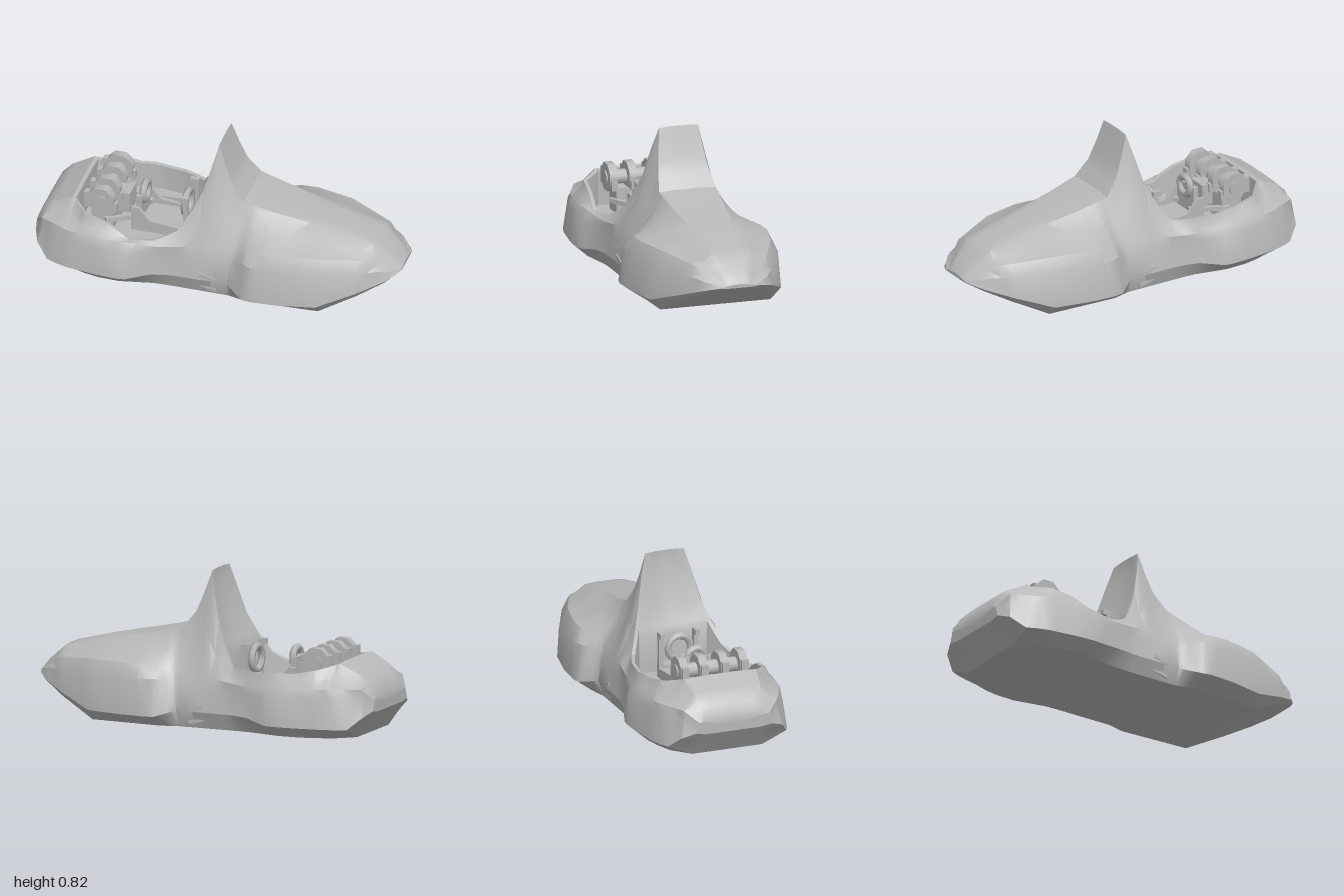
import * as THREE from 'three';
import { toCreasedNormals } from 'three/addons/utils/BufferGeometryUtils.js';

// piecewise linear curve through [x, value] pairs
function curve(...keys) {
  return x => {
    if (x <= keys[0][0]) return keys[0][1];
    for (let i = 1; i < keys.length; i++) {
      const [x0, v0] = keys[i - 1], [x1, v1] = keys[i];
      if (x <= x1) return v0 + (v1 - v0) * (x - x0) / (x1 - x0);
    }
    return keys[keys.length - 1][1];
  };
}

// flat bottom
const baseY = curve([-1, .14], [-.9, 0], [.6, 0], [1, .2]);
const baseZ = curve([-1, .16], [-.9, .2], [-.8, .29], [-.65, .34], [-.5, .345], [-.3, .305], [.1, .305], [.2, .33], [.6, .31], [.8, .25], [.93, .18], [1, .09]);
// widest line, low on the side
const lowY = curve([-1, .15], [-.9, .06], [-.45, .06], [-.3, .09], [.1, .09], [.2, .06], [.6, .06], [.8, .13], [1, .205]);
const lowZ = curve([-1, .22], [-.97, .29], [-.88, .355], [-.78, .385], [-.6, .41], [-.47, .415], [-.32, .36], [-.2, .34], [.1, .335], [.12, .35], [.2, .41], [.25, .42], [.4, .41], [.6, .37], [.8, .28], [.93, .2], [.98, .14], [1, .1]);
// upper side line
const highY = curve([-1, .2], [-.9, .23], [-.5, .22], [-.3, .2], [.1, .2], [.2, .26], [.6, .26], [.9, .24], [1, .21]);
// shoulder above the fenders
const shoulderY = curve([-1, .21], [-.95, .27], [-.5, .27], [-.3, .25], [.1, .29], [.2, .31], [.32, .33], [.6, .33], [.85, .3], [1, .212]);
const shoulderZ = curve([-1, .2], [-.95, .27], [-.78, .35], [-.6, .37], [-.5, .365], [-.3, .335], [0, .29], [.15, .285], [.2, .32], [.3, .355], [.4, .355], [.6, .31], [.85, .2], [1, .07]);
// cockpit rim, rising into the cowl, then the bonnet edge
const rimY = curve([-1, .215], [-.97, .28], [-.92, .33], [-.8, .39], [-.72, .365], [-.57, .335], [-.5, .3], [-.45, .265], [-.3, .275], [-.2, .33], [-.14, .42], [-.08, .55], [-.04, .7], [-.01, .82], [.03, .7], [.07, .6], [.14, .51], [.3, .47], [.65, .4], [.85, .35], [.96, .26], [1, .215]);
const rimZ = curve([-1, .17], [-.9, .19], [-.78, .21], [-.7, .3], [-.45, .33], [-.3, .31], [-.2, .265], [-.1, .195], [-.04, .145], [-.01, .11], [.07, .14], [.14, .16], [.65, .11], [.85, .11], [1, .06]);
// the right rim stays higher beside the seat
const rightLift = curve([-.57, 0], [-.45, .065], [-.3, .055], [-.2, 0]);

const FLOOR = .19, BACK = -.78, DASH = -.13, COWL = -.01;

// half section as [z, y], from the keel up and over to the centre line
function section(x, type, side) {
  const rz = rimZ(x), ry = rimY(x) + (side < 0 ? rightLift(x) : 0);
  const sz = shoulderZ(x), sy = shoulderY(x);
  const floorZ = Math.max(rz - .03, .19);
  const top = {
    closed: [[rz * .7, ry + .003], [rz * .4, ry + .005], [0, ry + .005]],
    open: [[rz - .02, ry - .003], [floorZ, FLOOR], [0, FLOOR]],
    screen: [[rz - .02, ry - .003], [rz * .6, ry - .04], [0, ry - .05]],
  }[type];
  return [
    [0, baseY(x)], [baseZ(x), baseY(x)], [lowZ(x), lowY(x)],
    [Math.max(Math.min(lowZ(x), lowZ(x - .03)) - .018, sz), highY(x)], [sz, sy],
    [sz + (rz - sz) * .57, sy + (ry - sy) * .43], [rz, ry], ...top,
  ];
}

// hull skin lofted along x, one half for each side
function hullGeometry() {
  const stations = [];
  const add = type => x => stations.push({ x, type });
  [-1, -.985, -.97, -.95, -.92, -.9, -.85, -.8, BACK].forEach(add('closed'));
  [BACK, -.74, -.7, -.62, -.57, -.5, -.45, -.4, -.32, -.25, -.2, -.17, DASH].forEach(add('open'));
  [DASH, -.11, -.08, -.04, COWL].forEach(add('screen'));
  [COWL, .01, .03, .05, .07, .1, .12, .14, .16, .18, .2, .22, .25, .3, .4, .5, .6, .65, .7, .8, .85, .9, .93, .96, .98, 1].forEach(add('closed'));
  const tip = (x, y) => Array(10).fill([x, y, 0]);
  const pos = [];
  for (const side of [1, -1]) {
    const rows = [
      tip(-1, .18),
      ...stations.map(({ x, type }) => section(x, type, side).map(([z, y]) => [x, y, side * z])),
      tip(1, .21),
    ];
    const tri = (a, b, c) => pos.push(...a, ...(side > 0 ? b : c), ...(side > 0 ? c : b));
    for (let i = 0; i < rows.length - 1; i++) {
      for (let j = 0; j < 9; j++) {
        const a = rows[i][j], b = rows[i + 1][j], c = rows[i + 1][j + 1], d = rows[i][j + 1];
        tri(a, b, c);
        tri(a, c, d);
      }
    }
  }
  const g = new THREE.BufferGeometry();
  g.setAttribute('position', new THREE.Float32BufferAttribute(pos, 3));
  return toCreasedNormals(g, .5);
}

export function createModel() {
  const model = new THREE.Group();
  model.name = 'speeder';
  const grey = new THREE.MeshStandardMaterial({ color: 0xb8b8b8 });
  grey.name = 'light grey';

  function part(name, geometry, x, y, z, parent = model) {
    const mesh = new THREE.Mesh(geometry, grey);
    mesh.name = name;
    mesh.position.set(x, y, z);
    parent.add(mesh);
    return mesh;
  }
  const box = (name, w, h, d, x, y, z, parent) => part(name, new THREE.BoxGeometry(w, h, d), x, y, z, parent);

  part('hull', hullGeometry(), 0, 0, 0);

  const cockpit = new THREE.Group();
  cockpit.name = 'cockpit';
  model.add(cockpit);

  // seat pan, backrest and side rails
  box('seatPan', .28, .04, .2, -.32, FLOOR + .02, 0, cockpit);
  box('backrest', .03, .2, .16, -.47, .28, 0, cockpit);
  box('footRest', .06, .06, .2, -.18, FLOOR + .03, 0, cockpit);

  // wedge-shaped seat cheek
  const cheek = new THREE.Shape([[-.5, FLOOR], [-.2, FLOOR], [-.22, .24], [-.4, .26], [-.46, .33], [-.5, .33]]
    .map(([x, y]) => new THREE.Vector2(x, y)));
  for (const s of [1, -1]) {
    box('sideLedge', .42, .02, .05, -.5, FLOOR + .01, s * .23, cockpit);
    part('seatCheek', new THREE.ExtrudeGeometry(cheek, { depth: .02, bevelEnabled: false }), 0, 0, s * .11 - .01, cockpit);
    const strut = box('diagonalStrut', .22, .025, .025, -.53, .26, s * .12, cockpit);
    strut.rotation.y = s * .5;
    box('controlArm', .025, .2, .025, -.2, .32, s * .1, cockpit);
    box('armGrip', .05, .03, .025, -.21, .42, s * .1, cockpit);
  }

  // upright rings at the head rest and controls
  for (const [name, x, y, r] of [['headRing', -.455, .37, .05], ['controlRing', -.22, .345, .065]]) {
    const ring = part(name, new THREE.TorusGeometry(r, .02, 6, 16), x, y, 0, cockpit);
    ring.rotation.y = Math.PI / 2;
  }

  // engine bank across the rear
  const axle = part('engineShaft', new THREE.CylinderGeometry(.04, .04, .4, 10), -.65, .38, 0, cockpit);
  axle.rotation.x = Math.PI / 2;
  box('engineBase', .12, .14, .3, -.65, FLOOR + .07, 0, cockpit);
  for (const z of [-.17, -.06, .06, .17]) {
    const drum = part('engineDrum', new THREE.CylinderGeometry(.08, .08, .045, 8), -.65, .385, z, cockpit);
    drum.rotation.set(Math.PI / 2, Math.PI / 8, 0);
    box('engineBlock', .06, .09, .04, -.71, .38, z, cockpit);
    box('engineMount', .1, .05, .035, -.61, .35, z, cockpit);
  }
  box('engineCover', .07, .12, .12, -.56, .31, 0, cockpit);

  // small waist vents, nearly flush with the side
  for (const s of [1, -1]) {
    for (const [y, z] of [[.11, .328], [.04, .312]]) {
      const vent = box('waistVent', .09, .02, .02, -.01, y, s * z);
      vent.rotation.z = -.25;
    }
  }
  return model;
}
